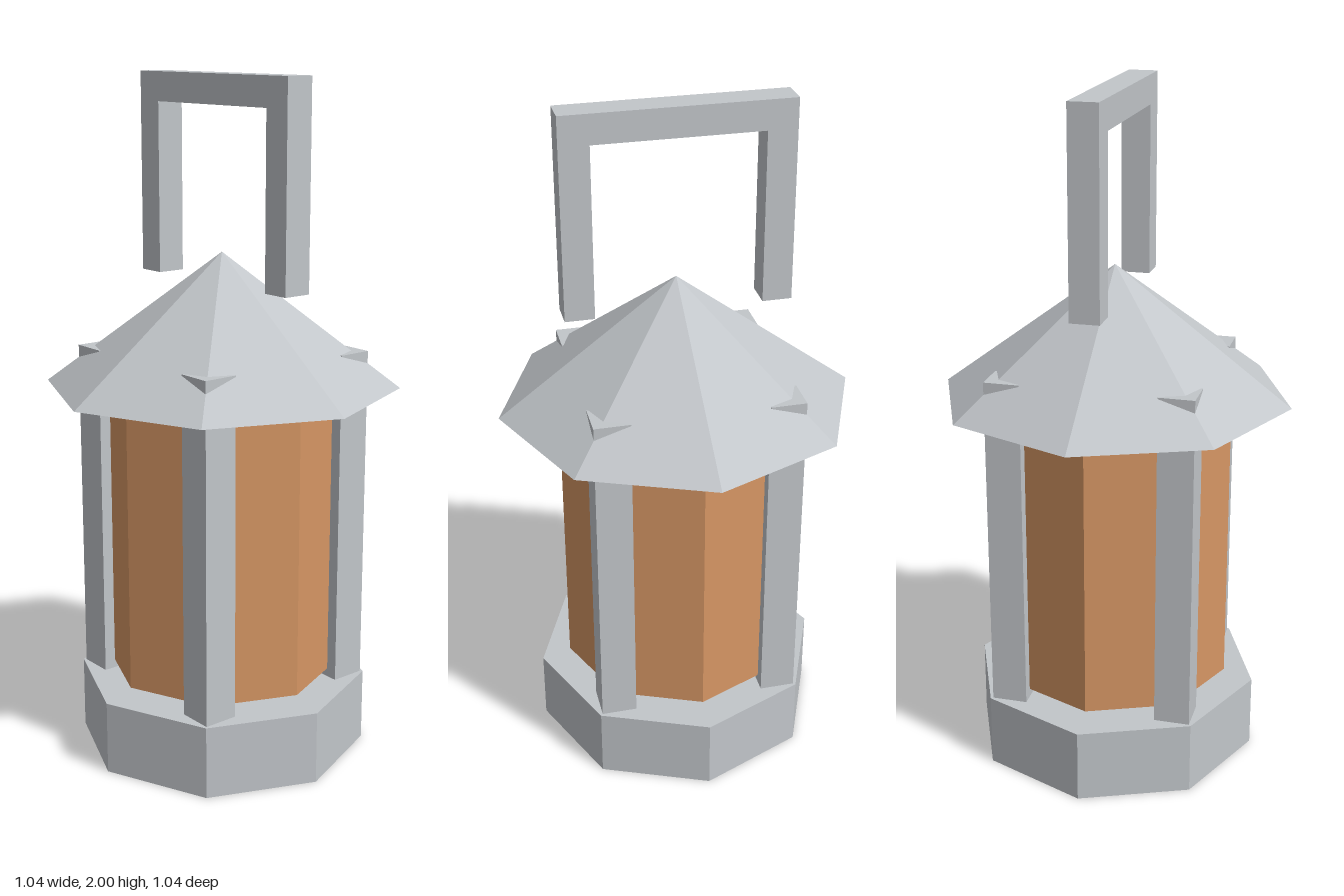
import * as THREE from 'three';

export function createModel() {
  const lantern = new THREE.Group();
  lantern.name = 'lantern';

  const metal = new THREE.MeshStandardMaterial({ color: 0xc2c6ca, flatShading: true });
  metal.name = 'grey metal';
  const amber = new THREE.MeshStandardMaterial({ color: 0xd69664, flatShading: true });
  amber.name = 'amber glass';

  function add(name, geometry, material, x, y, z) {
    const mesh = new THREE.Mesh(geometry, material);
    mesh.name = name;
    mesh.position.set(x, y, z);
    lantern.add(mesh);
  }

  // Octagonal base, and the glass floating just above it
  add('base', new THREE.CylinderGeometry(0.433, 0.433, 0.217, 8), metal, 0, 0.1085, 0);
  add('glass', new THREE.CylinderGeometry(0.346, 0.346, 0.867, 8), amber, 0, 0.676, 0);

  // Corner posts, whose tops poke through the roof
  const postBottom = 0.18, postTop = 1.218;
  const postGeometry = new THREE.BoxGeometry(0.104, postTop - postBottom, 0.104);
  for (const x of [-0.248, 0.248]) {
    for (const z of [-0.248, 0.248]) {
      const name = (z > 0 ? 'front' : 'back') + (x > 0 ? 'Left' : 'Right') + 'Post';
      add(name, postGeometry, metal, x, (postBottom + postTop) / 2, z);
    }
  }

  // Eight-sided pointed roof
  add('roof', new THREE.ConeGeometry(0.52, 0.39, 8), metal, 0, 1.305, 0);

  // Square-cornered carrying handle, one outline extruded in z
  const half = 0.325, bar = 0.085, low = 1.415, high = 2;
  const outline = new THREE.Shape([
    [-half, low], [-half + bar, low], [-half + bar, high - bar], [half - bar, high - bar],
    [half - bar, low], [half, low], [half, high], [-half, high],
  ].map(([x, y]) => new THREE.Vector2(x, y)));
  const handle = new THREE.ExtrudeGeometry(outline, { depth: 0.086, bevelEnabled: false });
  add('handle', handle, metal, 0, 0, -0.043);

  return lantern;
}
